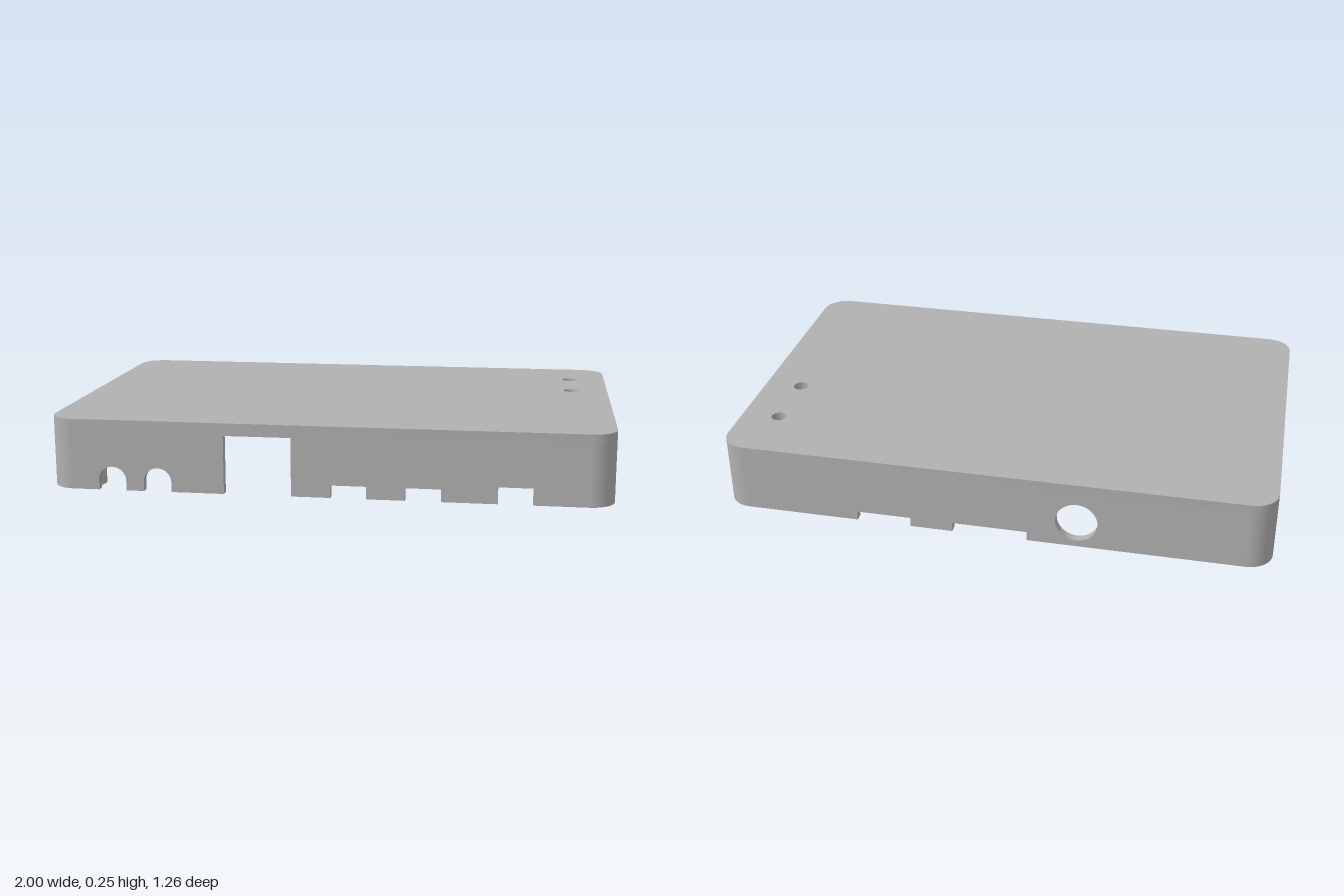
import * as THREE from 'three';
import { toCreasedNormals } from 'three/addons/utils/BufferGeometryUtils.js';

const HX = 1, HZ = 0.628;      // half width and half depth
const H = 0.255, LID = 0.03;   // full height and lid thickness
const T = 0.03, R = 0.09;      // wall thickness and corner radius
const WALL_H = H - LID;

const grey = new THREE.MeshStandardMaterial({ color: 0xb0b0b0 });
grey.name = 'grey plastic';

function extrude(shape, depth) {
  const geo = new THREE.ExtrudeGeometry(shape, { depth, bevelEnabled: false, curveSegments: 24 });
  return toCreasedNormals(geo, 0.5);
}

// Extrudes a plan shape (x, -z) upward from height y
function plan(shape, y, height) {
  return extrude(shape, height).rotateX(-Math.PI / 2).translate(0, y, 0);
}

function circleHole(x, y, r) {
  return new THREE.Path().absarc(x, y, r, 0, Math.PI * 2, true);
}

// Long wall with openings cut upward from its lower edge, listed by rising x
function longWall(openings) {
  const s = new THREE.Shape();
  const end = HX - R;
  s.moveTo(-end, 0);
  for (const { x0, x1, h, arched } of openings) {
    s.lineTo(x0, 0);
    if (arched) {
      const r = (x1 - x0) / 2;
      s.lineTo(x0, h - r);
      s.absarc((x0 + x1) / 2, h - r, r, Math.PI, 0, true);
    } else {
      s.lineTo(x0, h);
      s.lineTo(x1, h);
    }
    s.lineTo(x1, 0);
  }
  s.lineTo(end, 0);
  s.lineTo(end, WALL_H);
  s.lineTo(-end, WALL_H);
  s.closePath();
  return s;
}

export function createModel() {
  const model = new THREE.Group();
  model.name = 'enclosureCover';
  const add = (name, geo) => {
    const mesh = new THREE.Mesh(geo, grey);
    mesh.name = name;
    model.add(mesh);
    return mesh;
  };

  // Rounded lid with two small round holes
  const lid = new THREE.Shape();
  const cx = HX - R, cz = HZ - R;
  lid.absarc(cx, cz, R, 0, Math.PI / 2, false);
  lid.absarc(-cx, cz, R, Math.PI / 2, Math.PI, false);
  lid.absarc(-cx, -cz, R, Math.PI, Math.PI * 1.5, false);
  lid.absarc(cx, -cz, R, Math.PI * 1.5, Math.PI * 2, false);
  lid.closePath();
  for (const z of [-0.39, -0.15]) lid.holes.push(circleHole(0.86, -z, 0.028));
  add('lid', plan(lid, WALL_H, LID));

  // Front wall: two arches, a tall slot and three low ports
  const front = longWall([
    { x0: -0.815, x1: -0.715, h: 0.085, arched: true },
    { x0: -0.65, x1: -0.55, h: 0.085, arched: true },
    { x0: -0.36, x1: -0.12, h: 0.21 },
    { x0: 0.02, x1: 0.145, h: 0.045 },
    { x0: 0.28, x1: 0.405, h: 0.045 },
    { x0: 0.6, x1: 0.72, h: 0.06 },
  ]);
  add('frontWall', extrude(front, T).translate(0, 0, HZ - T));

  // Back wall: two shallow notches and a round hole
  const back = longWall([
    { x0: -0.138, x1: 0.135, h: 0.035 },
    { x0: 0.29, x1: 0.49, h: 0.035 },
  ]);
  back.holes.push(circleHole(-0.315, 0.1, 0.075));
  add('backWall', extrude(back, T).translate(0, 0, -HZ));

  for (const sx of [-1, 1]) {
    // Plain side walls
    const side = new THREE.BoxGeometry(T, WALL_H, 2 * cz);
    side.translate(sx * (HX - T / 2), WALL_H / 2, 0);
    add(sx > 0 ? 'leftWall' : 'rightWall', side);

    // Screw posts that also form the rounded corners
    for (const sz of [-1, 1]) {
      const post = new THREE.Shape();
      post.absarc(sx * cx, sz * cz, R, 0, Math.PI * 2, false);
      post.holes.push(circleHole(sx * cx, sz * cz, 0.024));
      add('screwPost', plan(post, 0, WALL_H));
    }
  }
  return model;
}
